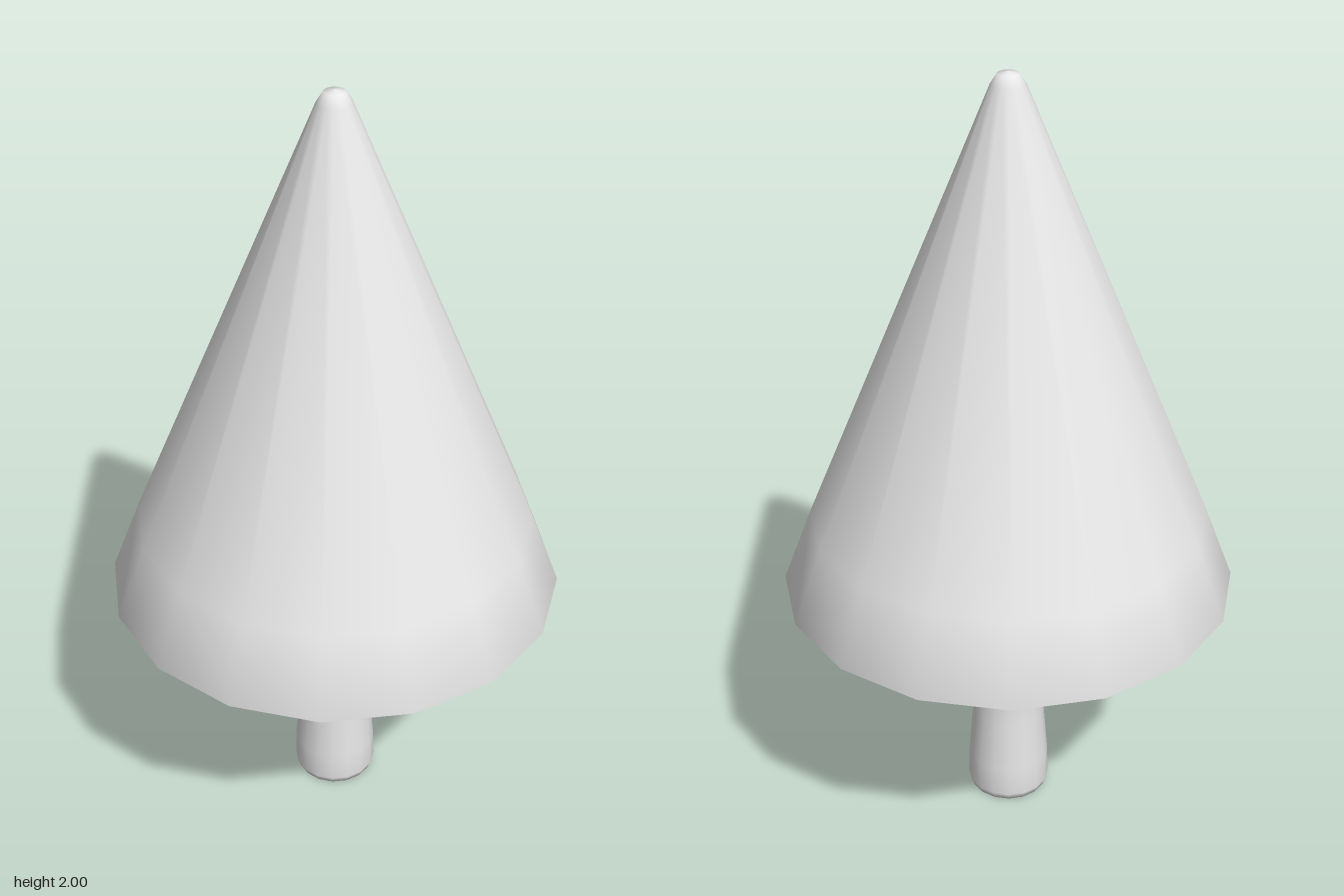
import * as THREE from 'three';

const SIDES = 16;

// Half profile from the trunk base up to the tip: [radius, height]
const PROFILE = [
  [0, 0], [0.1, 0], [0.108, 0.02], [0.106, 0.1], [0.095, 0.24], [0.092, 0.34],
  [0.098, 0.46], [0.108, 0.59], [0.113, 0.62], [0.135, 0.635], // trunk and flare
  [0.52, 0.636], [0.575, 0.662], // underside and bevelled rim
  [0.5, 0.86], [0.042, 1.97], [0.026, 1.995], [0, 2], // foliage cone and rounded tip
];

export function createModel() {
  const grey = new THREE.MeshStandardMaterial({ color: 0xe7e7e7 });
  grey.name = 'light grey';

  const group = new THREE.Group();
  group.name = 'tree';

  // Trunk and foliage turned as one smooth surface
  const points = PROFILE.map(([r, y]) => new THREE.Vector2(r, y));
  const tree = new THREE.Mesh(new THREE.LatheGeometry(points, SIDES), grey);
  tree.name = 'trunkAndFoliage';
  group.add(tree);

  return group;
}
